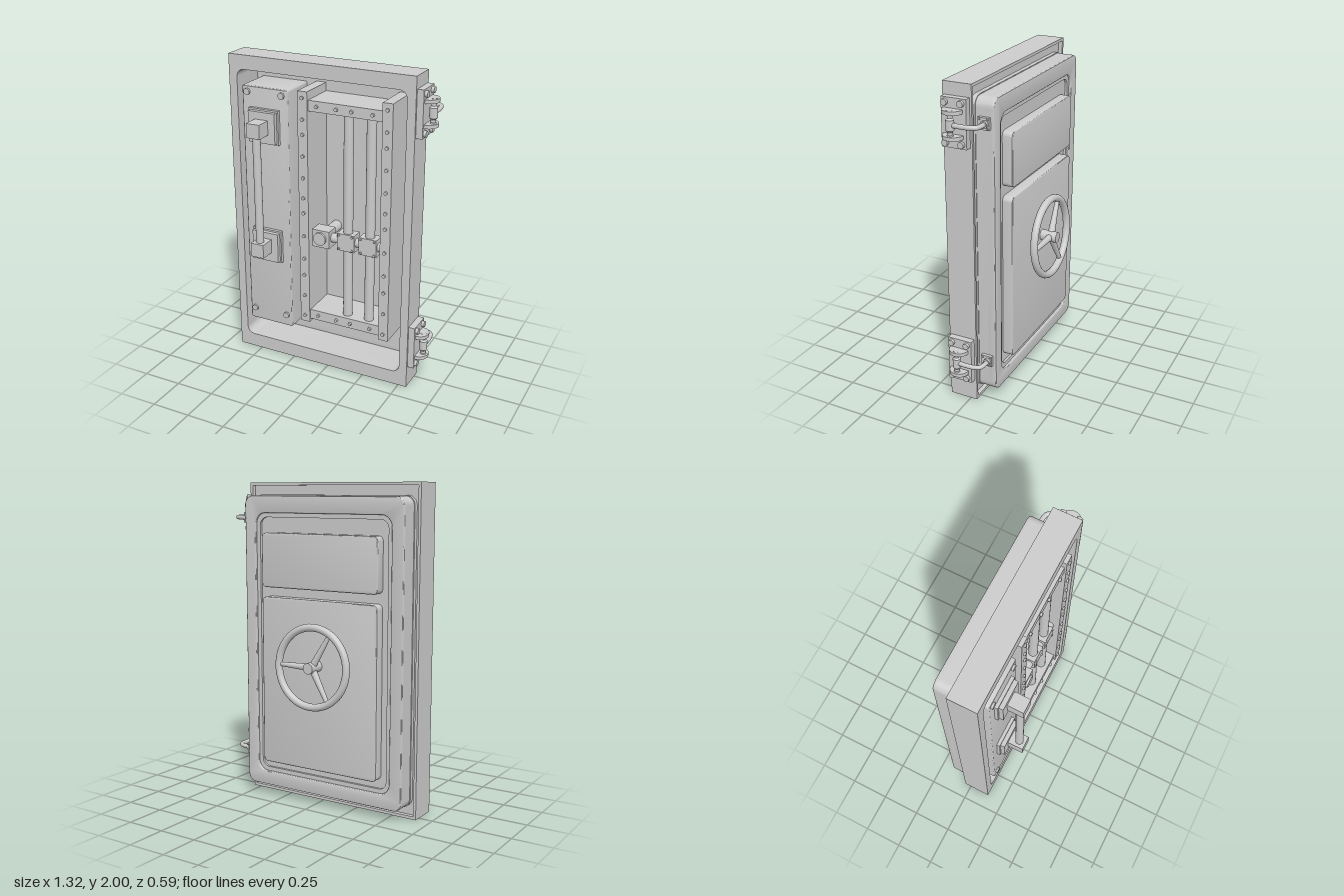
import * as THREE from 'three';
import { toCreasedNormals } from 'three/addons/utils/BufferGeometryUtils.js';

const mat = new THREE.MeshStandardMaterial({ color: 0xcccccc });

function add(parent, name, geo) {
  const mesh = new THREE.Mesh(geo, mat);
  mesh.name = name;
  parent.add(mesh);
  return mesh;
}

// Box given by its limits on each axis
function box(parent, name, x0, x1, y0, y1, z0, z1) {
  const mesh = add(parent, name, new THREE.BoxGeometry(x1 - x0, y1 - y0, z1 - z0));
  mesh.position.set((x0 + x1) / 2, (y0 + y1) / 2, (z0 + z1) / 2);
}

// Cylinder along 'x', 'y' or 'z', centred on (x, y, z)
function rod(parent, name, axis, r, length, x, y, z, sides = 20) {
  const geo = new THREE.CylinderGeometry(r, r, length, sides);
  if (axis === 'x') geo.rotateZ(-Math.PI / 2);
  if (axis === 'z') geo.rotateX(Math.PI / 2);
  add(parent, name, geo).position.set(x, y, z);
}

function roundRect(path, [x0, x1, y0, y1, r]) {
  if (r === 0) return path.moveTo(x0, y0).lineTo(x1, y0).lineTo(x1, y1).lineTo(x0, y1);
  path.moveTo(x0 + r, y0);
  path.absarc(x1 - r, y0 + r, r, -Math.PI / 2, 0);
  path.absarc(x1 - r, y1 - r, r, 0, Math.PI / 2);
  path.absarc(x0 + r, y1 - r, r, Math.PI / 2, Math.PI);
  return path.absarc(x0 + r, y0 + r, r, Math.PI, Math.PI * 1.5);
}

// Rounded plate between z0 and z1, with an optional rounded hole and bevel
function plate(parent, name, outer, hole, z0, z1, bevel = 0) {
  const shape = roundRect(new THREE.Shape(), outer);
  if (hole) shape.holes.push(roundRect(new THREE.Path(), hole));
  const geo = new THREE.ExtrudeGeometry(shape, {
    depth: z1 - z0 - 2 * bevel, curveSegments: 8, bevelEnabled: bevel > 0,
    bevelThickness: bevel, bevelSize: bevel, bevelOffset: -bevel, bevelSegments: 3,
  });
  geo.translate(0, 0, z0 + bevel);
  add(parent, name, toCreasedNormals(geo, 0.4));
}

function group(parent, name) {
  const g = new THREE.Group();
  g.name = name;
  parent.add(g);
  return g;
}

function makeFrame(root) {
  const g = group(root, 'doorFrame');
  const outer = [-0.66, 0.554, 0, 2, 0];
  const opening = [-0.606, 0.502, 0.092, 1.912, 0.05];
  plate(g, 'frameBody', outer, opening, -0.015, 0.137);
  // Two lips leave a sealing groove around the back
  plate(g, 'outerLip', outer, [-0.643, 0.537, 0.018, 1.982, 0], -0.042, -0.015);
  plate(g, 'innerLip', [-0.622, 0.518, 0.065, 1.925, 0.06], opening, -0.042, -0.015);
}

function makeLeaf(root) {
  const g = group(root, 'doorLeaf');
  const outer = [-0.617, 0.513, 0.07, 1.92, 0.055];
  plate(g, 'leafWall', outer, [-0.606, 0.502, 0.092, 1.912, 0.05], -0.14, -0.04);
  plate(g, 'leafRim', outer, [-0.535, 0.433, 0.16, 1.815, 0.07], -0.155, -0.1, 0.008);
  plate(g, 'rimStep', [-0.545, 0.443, 0.15, 1.825, 0.07], [-0.508, 0.406, 0.187, 1.788, 0.05], -0.14, -0.102);
  plate(g, 'leafFloor', [-0.565, 0.463, 0.13, 1.845, 0.05], null, -0.125, -0.099);
  plate(g, 'upperBackPanel', [-0.465, 0.36, 1.36, 1.695, 0.03], null, -0.19, -0.11, 0.007);
  plate(g, 'lowerBackPanel', [-0.465, 0.36, 0.24, 1.3, 0.03], null, -0.19, -0.11, 0.007);
}

function makeHandleSide(root) {
  const g = group(root, 'handlePanel');
  plate(g, 'panelBox', [-0.567, -0.253, 0.23, 1.822, 0.012], null, -0.105, 0.147, 0.01);
  for (const x of [-0.53, -0.294])
    for (const y of [0.31, 1.785]) rod(g, 'panelBolt', 'z', 0.02, 0.03, x, y, 0.145);
  // Pull bar on two stepped mounts
  for (const [y, c] of [[0.811, 0.8], [1.59, 1.585]]) {
    box(g, 'mountBase', -0.513, -0.31, c - 0.108, c + 0.108, 0.14, 0.168);
    box(g, 'mountPlate', -0.502, -0.32, c - 0.097, c + 0.097, 0.168, 0.195);
    box(g, 'mountBlock', -0.455, -0.366, y - 0.045, y + 0.045, 0.195, 0.295);
  }
  rod(g, 'pullBar', 'y', 0.025, 0.72, -0.412, 1.2, 0.253);
}

function makeLockFrame(root) {
  const g = group(root, 'lockFrame');
  const boltRows = [1.79, 1.66, 1.565, 1.43, 1.29, 1.16, 1.06, 0.905, 0.75, 0.635, 0.49, 0.345];
  for (const x of [-0.156, 0.391]) {
    box(g, 'stile', x - 0.0325, x + 0.0325, 0.3, 1.83, -0.105, 0.147);
    for (const y of boltRows) rod(g, 'stileBolt', 'z', 0.011, 0.024, x, y, 0.146, 12);
  }
  for (const y of [0.354, 1.745]) {
    box(g, 'rail', -0.126, 0.36, y - 0.033, y + 0.033, -0.105, 0.135);
    for (const x of [-0.067, 0.062, 0.16, 0.295]) rod(g, 'railBolt', 'z', 0.011, 0.022, x, y, 0.137, 12);
  }
  // Vertical bars, clamped to a cross shaft
  for (const x of [0.117, 0.265]) {
    rod(g, 'lockBar', 'y', 0.03, 1.34, x, 1.05, 0.08);
    box(g, 'clamp', x - 0.058, x + 0.058, 0.845, 0.958, 0.04, 0.12);
    for (const dx of [-0.045, 0.045])
      for (const dy of [-0.045, 0.045]) rod(g, 'clampBolt', 'z', 0.007, 0.014, x + dx, 0.902 + dy, 0.121, 8);
  }
  rod(g, 'crossShaft', 'x', 0.03, 0.4, 0.16, 0.902, 0.08);
  box(g, 'gearBox', -0.106, 0.01, 0.842, 0.957, 0.04, 0.132);
  rod(g, 'gearCap', 'z', 0.042, 0.02, -0.051, 0.903, 0.136, 24);
  rod(g, 'spindle', 'z', 0.035, 0.17, -0.051, 0.903, -0.035);
}

function makeHandwheel(root) {
  const g = group(root, 'handwheel');
  g.position.set(-0.052, 0.902, -0.25);
  rod(g, 'hub', 'z', 0.034, 0.115, 0, 0, 0.012, 24);
  // Rim and spokes lean slightly
  const wheel = group(g, 'wheel');
  wheel.rotation.x = 0.055;
  add(wheel, 'wheelRim', new THREE.TorusGeometry(0.242, 0.023, 14, 56));
  for (let i = 0; i < 3; i++) {
    const geo = new THREE.CylinderGeometry(0.013, 0.023, 0.235, 14);
    geo.translate(0, 0.1175, 0);
    add(wheel, 'spoke', geo).rotation.z = THREE.MathUtils.degToRad(30 + 120 * i);
  }
  rod(g, 'hubCap', 'z', 0.025, 0.012, 0, 0, -0.039, 20);
}

function makeHinge(root, y) {
  const g = group(root, 'hinge');
  g.position.y = y;
  box(g, 'hingePlate', 0.55, 0.594, -0.142, 0.142, -0.03, 0.125);
  for (const z of [0, 0.1])
    for (const dy of [-0.115, 0.115]) rod(g, 'hingeBolt', 'x', 0.019, 0.04, 0.592, dy, z, 16);
  // Rounded knuckle ears holding the pin
  for (const dy of [-0.072, 0.072]) {
    const ear = new THREE.Shape();
    ear.moveTo(0.59, -0.11).lineTo(0.6, -0.11);
    ear.absellipse(0.6, -0.05, 0.058, 0.06, -Math.PI / 2, Math.PI / 2);
    ear.lineTo(0.59, 0.01);
    const geo = new THREE.ExtrudeGeometry(ear, { depth: 0.022, bevelEnabled: false, curveSegments: 14 });
    geo.rotateX(-Math.PI / 2);
    geo.translate(0, dy - 0.011, 0);
    add(g, 'hingeEar', toCreasedNormals(geo, 0.4));
  }
  // Spool-shaped pin, wider at the ears and in the middle
  const half = [[0.024, 0.025], [0.024, 0.03], [0.015, 0.04], [0.015, 0.056], [0.02, 0.062], [0.02, 0.084], [0, 0.084]];
  const profile = [...half.map(([r, h]) => [r, -h]).reverse(), ...half];
  const pin = new THREE.LatheGeometry(profile.map(([r, h]) => new THREE.Vector2(r, h)), 20);
  add(g, 'hingePin', toCreasedNormals(pin, 0.5)).position.set(0.627, 0, 0.052);
  // Bent arm from the pin to the bracket on the leaf
  const path = new THREE.CatmullRomCurve3([
    [0.627, 0.05], [0.631, 0], [0.628, -0.06], [0.612, -0.098], [0.58, -0.108], [0.52, -0.108],
  ].map(([x, z]) => new THREE.Vector3(x, 0, z)));
  add(g, 'hingeArm', new THREE.TubeGeometry(path, 28, 0.014, 12));
  box(g, 'leafBracket', 0.508, 0.533, -0.035, 0.035, -0.135, -0.065);
  rod(g, 'bracketCollar', 'x', 0.022, 0.02, 0.54, 0, -0.108);
  for (const z of [-0.125, -0.075])
    for (const dy of [-0.025, 0.025]) rod(g, 'bracketBolt', 'x', 0.006, 0.012, 0.534, dy, z, 8);
}

export function createModel() {
  const root = new THREE.Group();
  root.name = 'vaultDoor';
  makeFrame(root);
  makeLeaf(root);
  makeHandleSide(root);
  makeLockFrame(root);
  makeHandwheel(root);
  for (const y of [0.284, 1.783]) makeHinge(root, y);
  return root;
}
